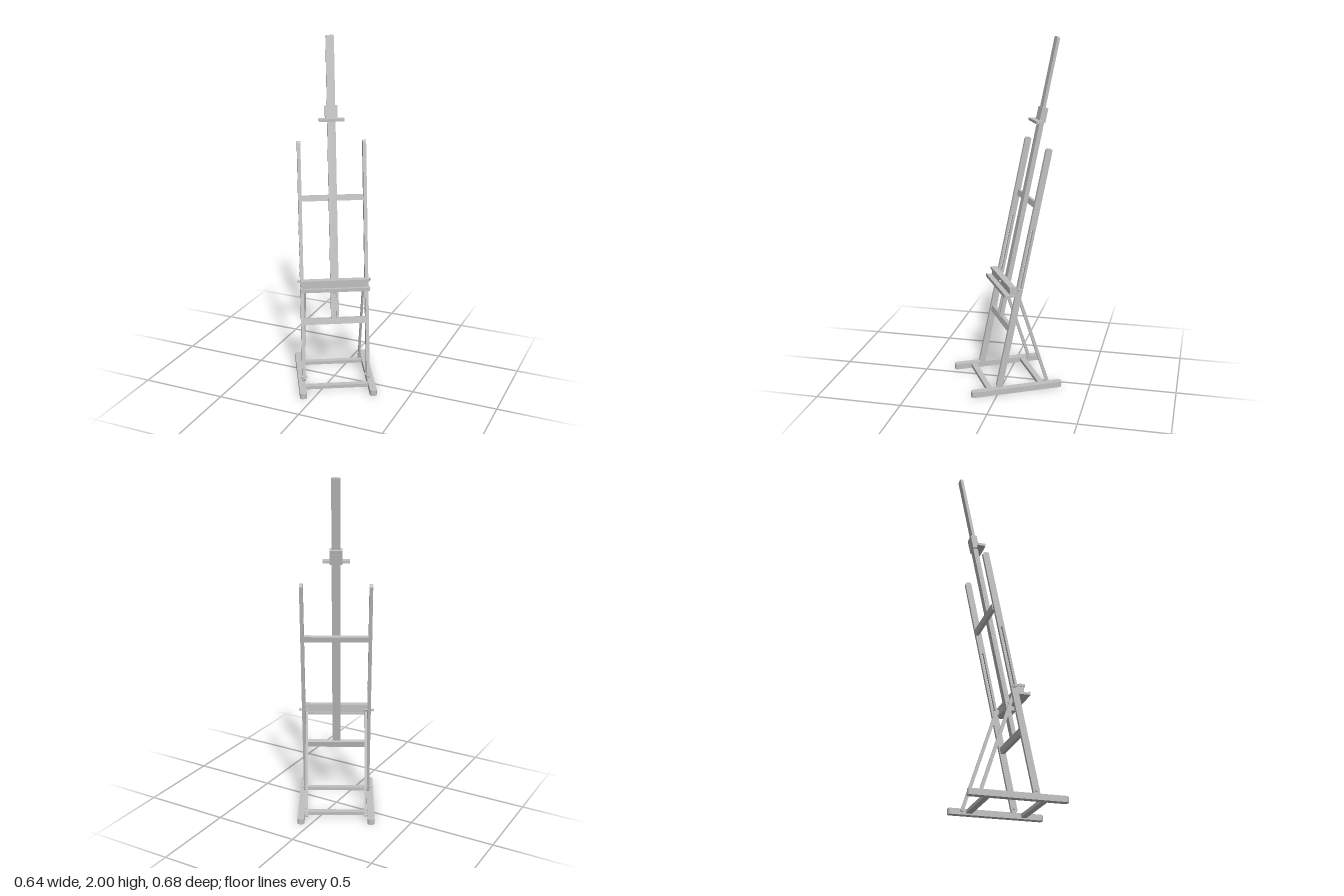
import * as THREE from 'three';

const TILT = Math.atan(0.21);
const gray = new THREE.MeshStandardMaterial({ color: 0xc0c0c0 });
gray.name = 'plain gray';

function add(parent, name, geo, x = 0, y = 0, z = 0) {
  const m = new THREE.Mesh(geo, gray);
  m.name = name;
  m.position.set(x, y, z);
  parent.add(m);
  return m;
}

function box(parent, name, w, h, d, x, y, z) {
  return add(parent, name, new THREE.BoxGeometry(w, h, d), x, y, z);
}

// Rounded rectangle outline, centred in x, running from y0 to y1
function outline(target, w, y0, y1, r) {
  const h = w / 2;
  target.moveTo(-h, y0 + r);
  target.absarc(-h + r, y0 + r, r, Math.PI, 1.5 * Math.PI);
  target.absarc(h - r, y0 + r, r, 1.5 * Math.PI, 2 * Math.PI);
  target.absarc(h - r, y1 - r, r, 0, 0.5 * Math.PI);
  target.absarc(-h + r, y1 - r, r, 0.5 * Math.PI, Math.PI);
  target.closePath();
  return target;
}

// Flat board with rounded corners and an optional long slot
function board(w, y0, y1, r, thick, slot) {
  const s = outline(new THREE.Shape(), w, y0, y1, r);
  if (slot) s.holes.push(outline(new THREE.Path(), slot[0], slot[1], slot[2], slot[0] * 0.49));
  const g = new THREE.ExtrudeGeometry(s, { depth: thick, bevelEnabled: false, curveSegments: 5 });
  return g.translate(0, 0, -thick / 2);
}

// Bolt lying along x
function bolt(parent, name, r, len, x, y, z) {
  const g = new THREE.CylinderGeometry(r, r, len, 12).rotateZ(Math.PI / 2);
  return add(parent, name, g, x, y, z);
}

export function createModel() {
  const root = new THREE.Group();
  root.name = 'easel';
  const easel = new THREE.Group();
  easel.name = 'turnedEasel';
  easel.rotation.y = 0.506;
  root.add(easel);

  // Leaning frame: its own y axis follows the uprights
  const frame = new THREE.Group();
  frame.name = 'leaningFrame';
  frame.position.z = 0.1105;
  frame.rotation.x = -TILT;
  easel.add(frame);
  const L = (y) => y / Math.cos(TILT);

  for (const s of [-1, 1]) {
    // Feet
    add(easel, 'foot', board(0.04, -0.27, 0.27, 0.015, 0.033).rotateX(Math.PI / 2), s * 0.203, 0.0165, 0);

    // Slotted uprights
    const up = board(0.036, L(0.034), L(1.413), 0.012, 0.02, [0.009, L(0.61), L(0.96)]);
    add(frame, 'upright', up.rotateY(Math.PI / 2), s * 0.19, 0, 0);
    bolt(frame, 'uprightHingeBolt', 0.008, 0.036, s * 0.189, L(0.055), 0);

    // Back struts
    const y0 = 0.02, z0 = -0.197, y1 = 0.59, z1 = -0.012;
    const len = Math.hypot(y1 - y0, z1 - z0);
    const strut = add(easel, 'backStrut', board(0.018, -0.006, len + 0.006, 0.007, 0.013).rotateY(Math.PI / 2), s * 0.172, y0, z0);
    strut.rotation.x = Math.atan2(z1 - z0, y1 - y0);
    bolt(easel, 'strutPin', 0.005, 0.03, s * 0.176, y0 + 0.005, z0 + 0.002);

    // Tray clamp with wing nut
    bolt(easel, 'trayClampBolt', 0.004, 0.06, s * 0.188, 0.615, -0.018);
    bolt(easel, 'trayClampNut', 0.008, 0.008, s * 0.204, 0.615, -0.018);
    box(easel, 'trayClampWing', 0.005, 0.012, 0.026, s * 0.212, 0.615, -0.018);
    box(easel, 'trayBracket', 0.014, 0.035, 0.03, s * 0.19, 0.605, 0.008);
  }

  // Floor stretchers between the feet
  for (const z of [-0.155, 0.155]) box(easel, 'floorStretcher', 0.37, 0.02, 0.032, 0, 0.018, z);

  // Crossbars between the uprights
  box(frame, 'upperCrossbar', 0.364, 0.034, 0.022, 0, L(1.088), -0.012);
  box(frame, 'lowerCrossbar', 0.364, 0.036, 0.026, 0, L(0.378), 0);

  // Central mast: fixed back board, sliding front board
  box(frame, 'mastBackBoard', 0.046, L(1.2), 0.01, 0, L(0.995), 0.004);
  add(frame, 'mastSlide', board(0.048, L(0.58), L(1.998), 0.008, 0.017), 0, 0, 0.0175);

  // Ratchet rails and rungs at the foot of the mast
  for (const s of [-1, 1]) box(frame, 'ratchetRail', 0.013, L(0.19), 0.014, s * 0.0165, L(0.49), 0.016);
  for (let i = 0; i < 10; i++) box(frame, 'ratchetRung', 0.022, 0.008, 0.009, 0, L(0.405 + i * 0.018), 0.013);

  // Tray
  box(easel, 'trayShelf', 0.404, 0.013, 0.07, 0, 0.582, 0.037);
  box(easel, 'trayPanel', 0.39, 0.034, 0.026, 0, 0.605, 0.024);
  box(easel, 'trayTop', 0.4, 0.014, 0.037, 0, 0.628, 0.024);
  box(easel, 'trayLip', 0.404, 0.008, 0.008, 0, 0.592, 0.068);
  box(easel, 'trayCatch', 0.024, 0.026, 0.04, 0, 0.563, 0.025);
  add(easel, 'trayKnob', new THREE.CylinderGeometry(0.007, 0.007, 0.012, 12).rotateX(Math.PI / 2), 0, 0.607, 0.041);

  // Top clamp: collar around the mast and a holding plate
  box(frame, 'clampCollar', 0.07, L(0.08), 0.036, 0, L(1.57), 0.014);
  box(easel, 'clampPlate', 0.146, 0.015, 0.042, 0, 1.538, -0.172);

  return root;
}
